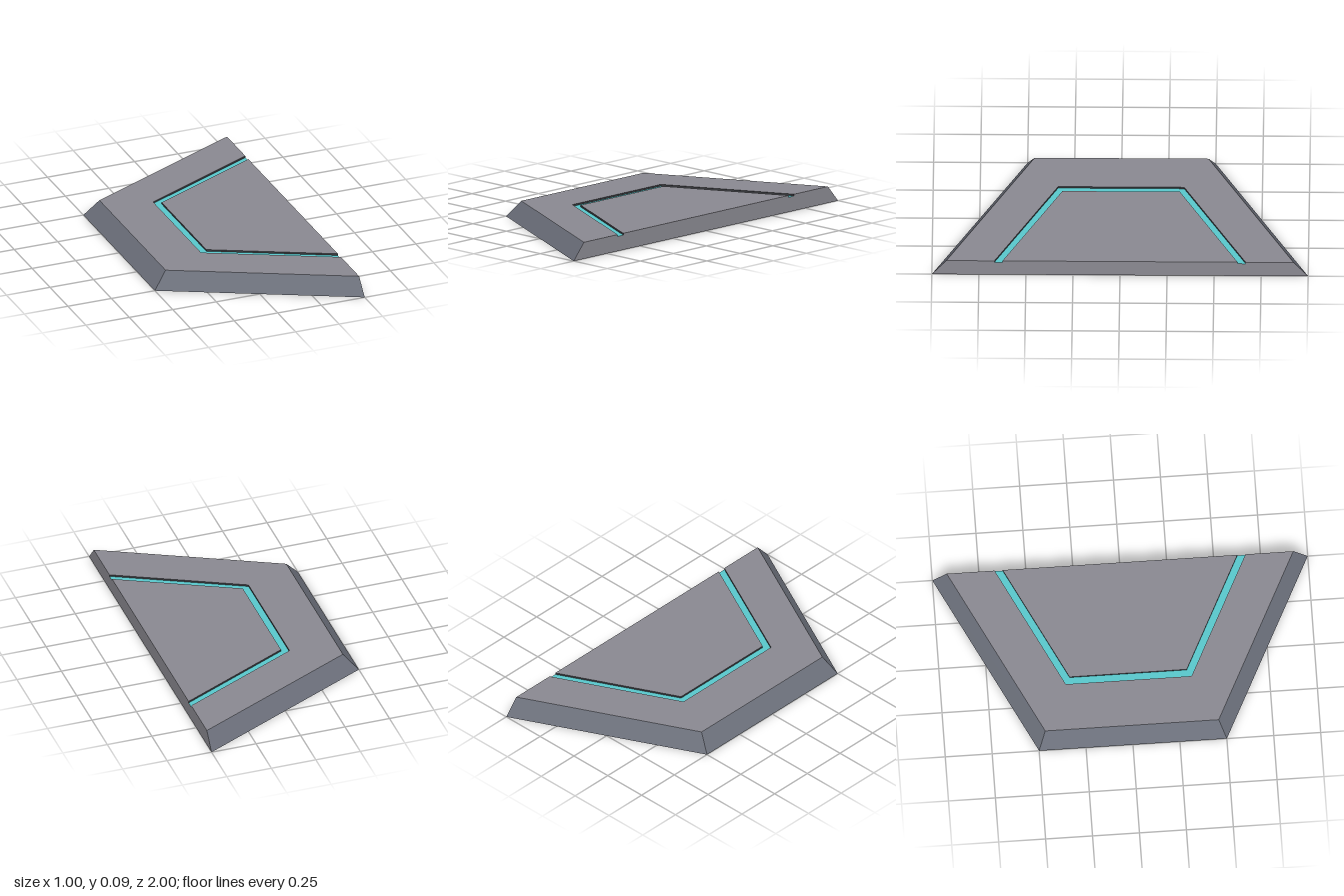
import * as THREE from 'three';

const paint = (name, color) => {
  const m = new THREE.MeshStandardMaterial({ color });
  m.name = name;
  return m;
};

// Half-hexagon outline at height y: narrow side at x, open at x = 0.5
const rail = (y, x, corner, end) => [
  [0.5, y, -end], [x, y, -corner], [x, y, corner], [0.5, y, end],
];

// Flat-shaded geometry from four-cornered faces
function quads(list) {
  const pos = list.flatMap(([a, b, c, d]) => [a, b, c, a, c, d]).flat();
  const g = new THREE.BufferGeometry();
  g.setAttribute('position', new THREE.Float32BufferAttribute(pos, 3));
  g.computeVertexNormals();
  return g;
}

// Band of faces between an outer and an inner rail
const band = (a, b) => quads([0, 1, 2].map(i => [a[i], a[i + 1], b[i + 1], b[i]]));

export function createModel() {
  const group = new THREE.Group();
  group.name = 'halfHexagonPlatform';

  const grey = paint('plate grey', 0x8a8991);
  const slate = paint('bevel slate', 0x6b6f7a);
  const dark = paint('groove dark', 0x36373b);
  const cyan = paint('light strip cyan', 0x58c8cc);

  const add = (name, geometry, material) => {
    const mesh = new THREE.Mesh(geometry, material);
    mesh.name = name;
    group.add(mesh);
  };

  const top = 0.09, floor = 0.08;
  const base = rail(0, -0.5, 0.5, 1);
  const rim = rail(top, -0.423, 0.462, 0.923);
  const outerTop = rail(top, -0.167, 0.335, 0.668);
  const outerFloor = rail(floor, -0.167, 0.335, 0.668);
  const innerFloor = rail(floor, -0.127, 0.312, 0.625);
  const innerTop = rail(top, -0.127, 0.312, 0.625);

  // Body surfaces from the ground up and inwards
  add('underside', quads([[...base].reverse()]), grey);
  add('bevel', band(base, rim), slate);
  add('outerDeck', band(rim, outerTop), grey);
  add('innerDeck', quads([innerTop]), grey);

  // Recessed light strip
  add('grooveOuterWall', band(outerTop, outerFloor), dark);
  add('lightStrip', band(outerFloor, innerFloor), cyan);
  add('grooveInnerWall', band(innerFloor, innerTop), dark);

  // Flat end face, notched where the groove runs out
  const rails = [base, rim, outerTop, outerFloor, innerFloor, innerTop];
  const half = rails.map(r => [r[3][2], r[3][1]]);
  const outline = [
    ...half.map(([z, y]) => new THREE.Vector2(-z, y)),
    ...half.reverse().map(([z, y]) => new THREE.Vector2(z, y)),
  ];
  const end = new THREE.ShapeGeometry(new THREE.Shape(outline));
  end.rotateY(Math.PI / 2).translate(0.5, 0, 0);
  add('endFace', end, grey);

  return group;
}
